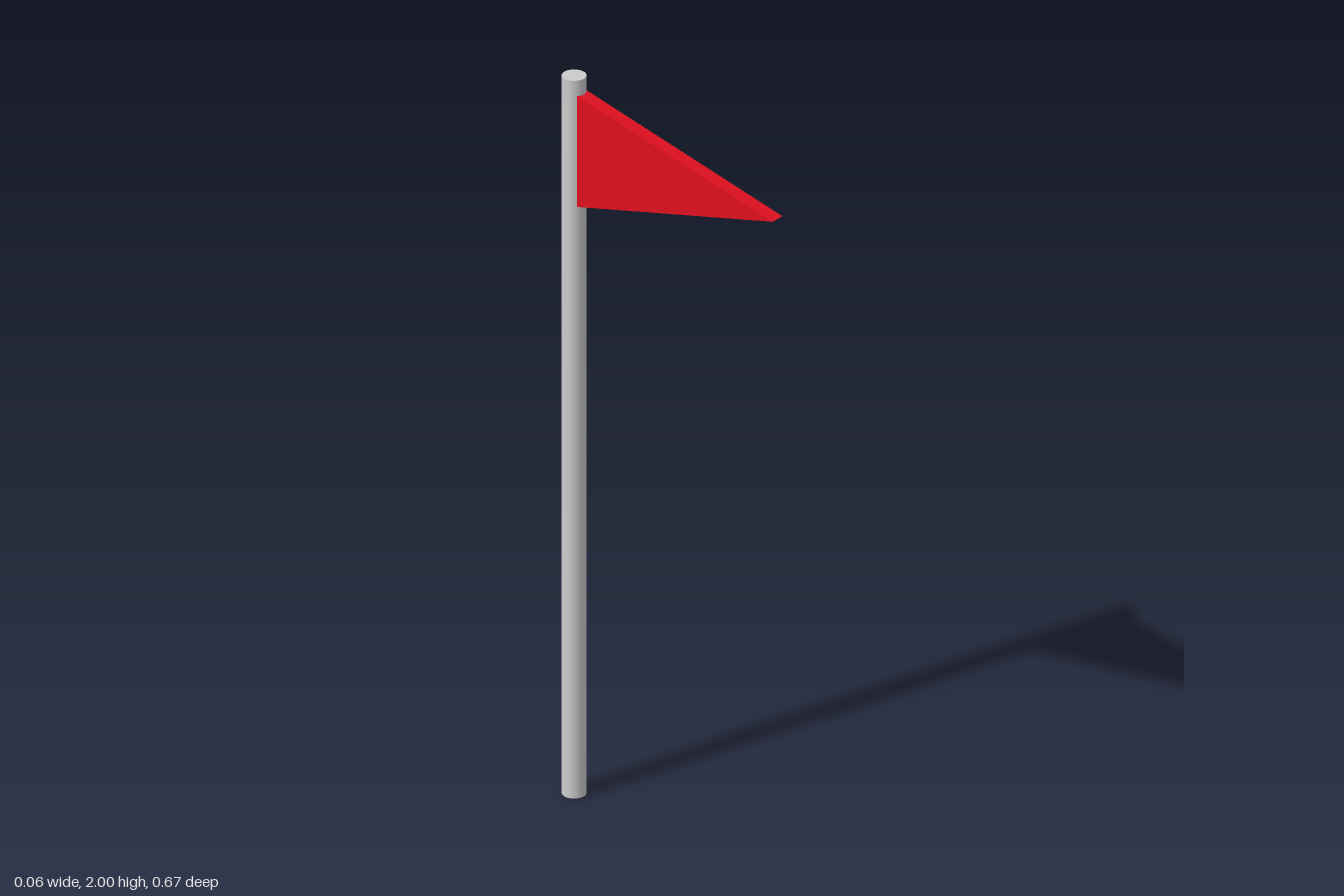
import * as THREE from 'three';

const POLE_Z = -0.305;
const POLE_RADIUS = 0.031;
const FLAG_THICKNESS = 0.039;

export function createModel() {
  const model = new THREE.Group();
  model.name = 'pennantOnPole';

  // Round upright pole
  const pole = new THREE.Mesh(
    new THREE.CylinderGeometry(POLE_RADIUS, POLE_RADIUS, 2, 32),
    new THREE.MeshStandardMaterial({ color: 0xcccccc })
  );
  pole.name = 'pole';
  pole.position.set(0, 1, POLE_Z);
  model.add(pole);

  // Triangular pennant, its base sunk slightly into the pole
  const outline = new THREE.Shape([
    new THREE.Vector2(-0.29, 1.646),
    new THREE.Vector2(0.335, 1.803),
    new THREE.Vector2(-0.29, 1.96),
  ]);
  const flagGeometry = new THREE.ExtrudeGeometry(outline, { depth: FLAG_THICKNESS, bevelEnabled: false });
  flagGeometry.translate(0, 0, -FLAG_THICKNESS / 2);
  flagGeometry.rotateY(-Math.PI / 2); // outline x becomes z
  const flag = new THREE.Mesh(flagGeometry, new THREE.MeshStandardMaterial({ color: 0xe01020 }));
  flag.name = 'flag';
  model.add(flag);

  return model;
}
